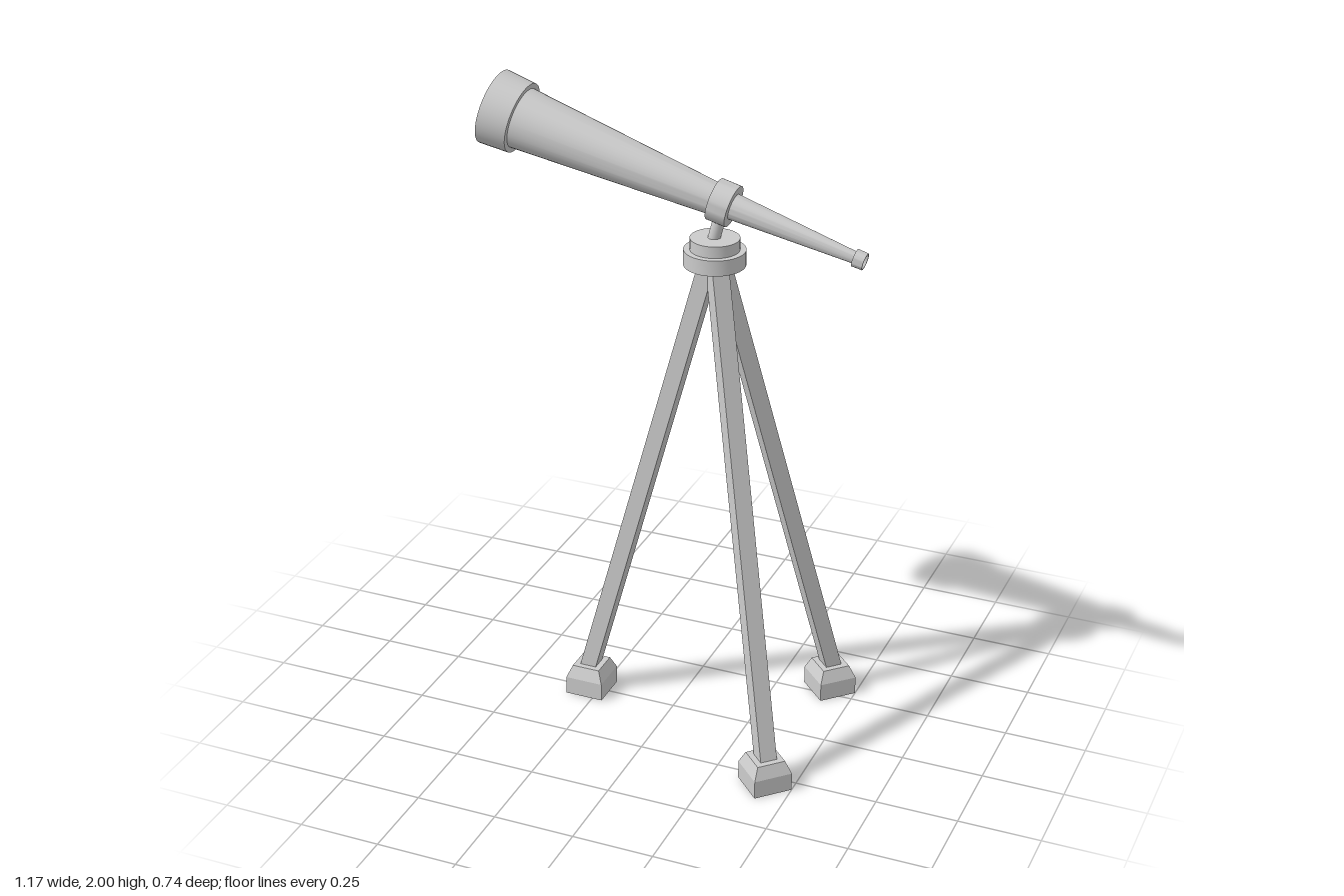
import * as THREE from 'three';
import { toCreasedNormals } from 'three/addons/utils/BufferGeometryUtils.js';

const HUB_X = 0.128;
const material = new THREE.MeshStandardMaterial({ color: 0xcccccc });
const flatMaterial = new THREE.MeshStandardMaterial({ color: 0xcccccc, flatShading: true });

// Solid of revolution from [radius, height] pairs, listed from bottom to top
function turned(name, profile, segments = 40) {
  const points = profile.map(([r, y]) => new THREE.Vector2(r, y));
  const geometry = toCreasedNormals(new THREE.LatheGeometry(points, segments), 0.5);
  const mesh = new THREE.Mesh(geometry, material);
  mesh.name = name;
  return mesh;
}

// One leg with its foot, spreading along local +x from the hub axis
function createLeg() {
  const leg = new THREE.Group();
  leg.name = 'leg';

  const bottom = new THREE.Vector3(0.41, 0.08, 0);
  const top = new THREE.Vector3(0.012, 1.53, 0);
  const direction = top.clone().sub(bottom);
  const strut = new THREE.Mesh(new THREE.BoxGeometry(0.05, direction.length(), 0.052), flatMaterial);
  strut.name = 'legStrut';
  strut.position.copy(bottom).add(top).multiplyScalar(0.5);
  strut.quaternion.setFromUnitVectors(new THREE.Vector3(0, 1, 0), direction.normalize());

  // Square foot with bevelled upper edges
  const corner = Math.SQRT2;
  const foot = turned('foot', [
    [0, 0], [0.06 * corner, 0], [0.06 * corner, 0.057], [0.044 * corner, 0.095], [0, 0.095],
  ], 4);
  foot.material = flatMaterial;
  foot.rotation.y = Math.PI / 4;
  foot.position.x = 0.406;

  leg.add(strut, foot);
  return leg;
}

// Telescope along local y: the wide end is at y = 0, the eyepiece at the bottom
function createTelescope() {
  const telescope = new THREE.Group();
  telescope.name = 'telescope';
  telescope.add(
    turned('mainTube', [[0, -0.76], [0.043, -0.76], [0.092, -0.07], [0, -0.07]]),
    turned('frontHood', [
      [0, -0.092], [0.106, -0.092], [0.112, 0], [0.098, 0], [0.094, -0.03], [0, -0.03],
    ]),
    turned('collar', [[0, -0.766], [0.062, -0.766], [0.062, -0.706], [0, -0.706]]),
    turned('drawTube', [[0, -1.15], [0.017, -1.15], [0.039, -0.75], [0, -0.75]]),
    turned('eyepiece', [
      [0, -1.16], [0.019, -1.16], [0.021, -1.172], [0.025, -1.172],
      [0.026, -1.14], [0, -1.14],
    ]),
    );

  // Post joining the collar to the hub, square to the tube
  const post = new THREE.Mesh(new THREE.CylinderGeometry(0.018, 0.018, 0.12, 24), material);
  post.name = 'post';
  post.rotation.z = Math.PI / 2;
  post.position.set(-0.1, -0.736, 0);
  telescope.add(post);

  telescope.position.set(-0.557, 1.892, 0);
  telescope.rotation.z = THREE.MathUtils.degToRad(75.2);
  return telescope;
}

export function createModel() {
  const model = new THREE.Group();
  model.name = 'telescopeOnTripod';

  // Stepped hub on top of the legs
  const hub = turned('hub', [
    [0, 1.513], [0.09, 1.513], [0.09, 1.56], [0.072, 1.56], [0.072, 1.595], [0, 1.595],
  ]);
  hub.position.x = HUB_X;
  model.add(hub);

  // One leg under the wide end, two spread under the eyepiece
  for (const angle of [Math.PI, Math.PI / 4, -Math.PI / 4]) {
    const leg = createLeg();
    leg.position.x = HUB_X;
    leg.rotation.y = angle;
    model.add(leg);
  }

  model.add(createTelescope());
  return model;
}
